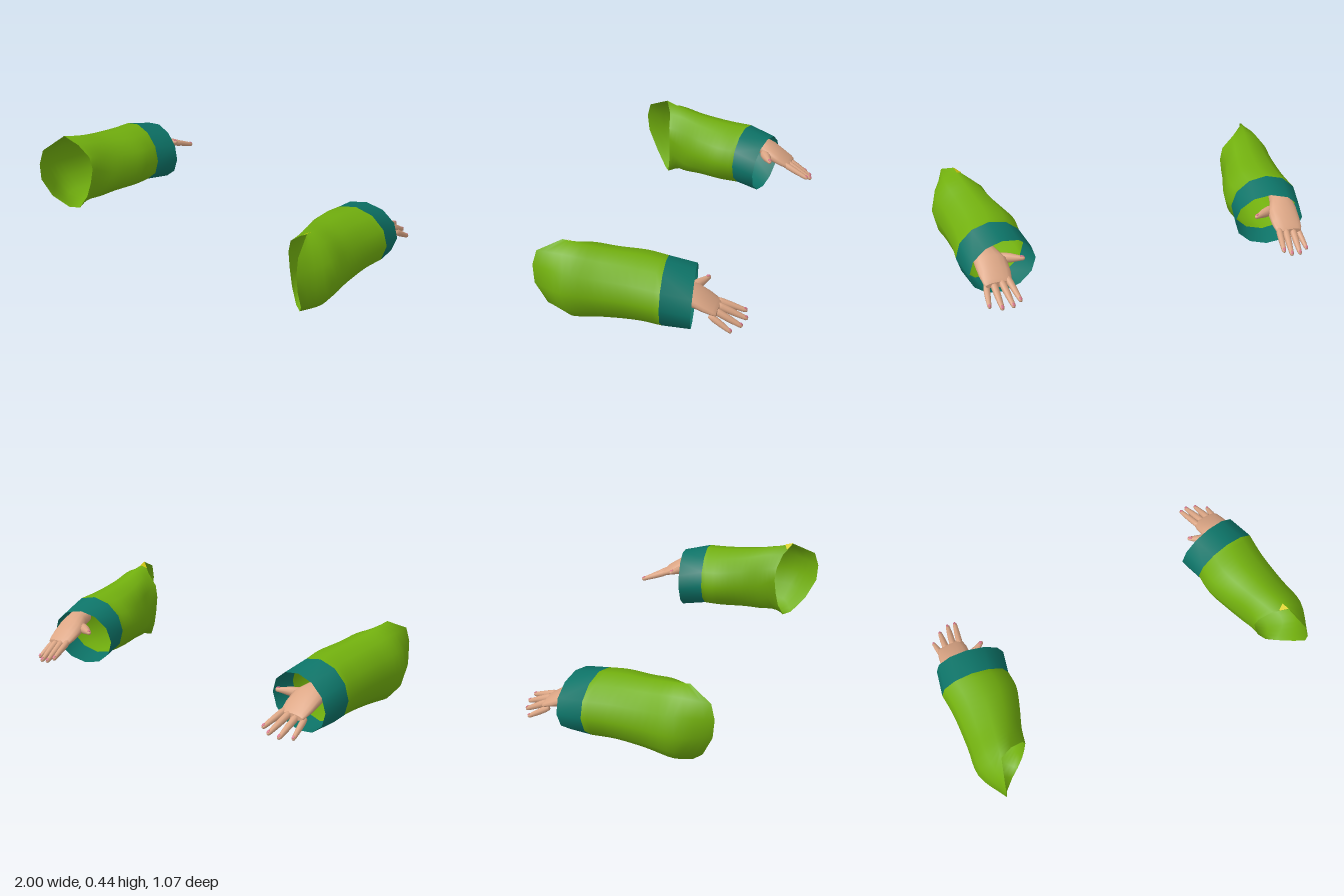
import * as THREE from 'three';

const V = (x, y, z) => new THREE.Vector3(x, y, z);
const mat = (name, color, side = THREE.FrontSide) =>
  Object.assign(new THREE.MeshStandardMaterial({ color, side }), { name });
const green = mat('sleeve green', 0x72b00e, THREE.DoubleSide);
const teal = mat('cuff teal', 0x0d7468, THREE.DoubleSide);
const yellow = mat('lining yellow', 0xd6cc12, THREE.DoubleSide);
const skin = mat('skin', 0xdca685);
const pink = mat('nail pink', 0xd8788c);

const SIDES = 12;

// Ellipse ring, tilted in z by kx (outer side) and ky (top)
function ring(cu, cy, cz, ru, ry, kx = 0, ky = 0, n = SIDES) {
  return Array.from({ length: n }, (_, k) => {
    const a = (k / n) * Math.PI * 2, c = Math.cos(a), s = Math.sin(a);
    return V(cu + ru * c, cy + ry * s, cz + kx * c + ky * s);
  });
}

// Skin over rings ordered from back to front; side mirrors in x
function loft(rings, side, capped = false) {
  const n = rings[0].length, pos = [], idx = [];
  const tri = (a, b, c) => (side > 0 ? idx.push(a, b, c) : idx.push(a, c, b));
  rings.forEach(r => r.forEach(p => pos.push(p.x * side, p.y, p.z)));
  for (let i = 0; i < rings.length - 1; i++) {
    for (let j = 0; j < n; j++) {
      const k = (j + 1) % n, a = i * n + j, b = i * n + k;
      tri(a, b, b + n);
      tri(a, b + n, a + n);
    }
  }
  if (capped) {
    [rings[0], rings[rings.length - 1]].forEach((r, e) => {
      const base = pos.length / 3;
      const mid = r.reduce((m, p) => m.add(p), V(0, 0, 0)).divideScalar(n);
      [...r, mid].forEach(p => pos.push(p.x * side, p.y, p.z));
      for (let j = 0; j < n; j++) {
        const k = (j + 1) % n;
        if (e) tri(base + n, base + j, base + k);
        else tri(base + n, base + k, base + j);
      }
    });
  }
  const g = new THREE.BufferGeometry();
  g.setAttribute('position', new THREE.Float32BufferAttribute(pos, 3));
  g.setIndex(idx);
  g.computeVertexNormals();
  return g;
}

function add(parent, name, geometry, material) {
  const m = new THREE.Mesh(geometry, material);
  m.name = name;
  parent.add(m);
  return m;
}

// Tapered round-tipped finger with a thin nail on its upper side
function finger(name, from, to, r0, r1) {
  const g = new THREE.Group();
  g.name = name;
  const dir = to.clone().sub(from), len = dir.length();
  dir.normalize();
  const up = V(0, 1, 0).addScaledVector(dir, -dir.y).normalize();
  g.quaternion.setFromRotationMatrix(
    new THREE.Matrix4().makeBasis(dir.clone().cross(up), dir, up));
  g.position.copy(from);
  const profile = [[0, 0], [r0 * 0.8, 0.002], [r0, len * 0.2], [r0 * 0.92, len * 0.5],
    [r1 * 1.05, len - r1 * 1.8], [r1 * 0.85, len - r1 * 0.6], [r1 * 0.45, len - r1 * 0.1], [0, len]];
  add(g, name + 'Skin', new THREE.LatheGeometry(profile.map(p => new THREE.Vector2(...p)), 10), skin);
  const nail = add(g, name + 'Nail', new THREE.SphereGeometry(1, 10, 6), pink);
  nail.scale.set(r1 * 0.65, r1 * 0.9, 0.003);
  nail.position.set(0, len - r1 * 1.1, r1 * 0.92);
  nail.rotation.x = -0.2;
  return g;
}

// Slanted front opening, starting at the outer side and going over the top
const RIM = [
  [0.92, 0.21, 0.527], [0.915, 0.31, 0.535], [0.905, 0.39, 0.513], [0.86, 0.45, 0.39],
  [0.79, 0.40, 0.35], [0.72, 0.34, 0.335], [0.705, 0.27, 0.33], [0.72, 0.18, 0.335],
  [0.745, 0.09, 0.345], [0.79, 0.01, 0.365], [0.84, 0.01, 0.40], [0.90, 0.09, 0.47],
].map(p => V(...p));

function arm(side) {
  const g = new THREE.Group();
  g.name = side > 0 ? 'leftArm' : 'rightArm';

  // Sleeve: smooth curve through the key rings at every angle
  const cuffStart = ring(0.788, 0.20, -0.115, 0.188, 0.17, -0.025, -0.005);
  const keys = [
    cuffStart,
    ring(0.785, 0.208, 0.0, 0.186, 0.174, -0.005),
    ring(0.812, 0.216, 0.16, 0.172, 0.184, 0.03),
    ring(0.84, 0.223, 0.295, 0.16, 0.203, 0.065),
    RIM,
  ];
  const curves = RIM.map((_, k) => new THREE.CatmullRomCurve3(keys.map(r => r[k])));
  const rows = Array.from({ length: 17 }, (_, i) => curves.map(c => c.getPoint(i / 16)));
  add(g, 'sleeve', loft(rows, side), green);

  // Cuff
  const cuffEnd = ring(0.755, 0.172, -0.255, 0.186, 0.158, -0.035, -0.01);
  add(g, 'cuff', loft([cuffEnd, cuffStart], side), teal);

  // Scrap of lining folded over the left opening
  if (side > 0) {
    const corners = [rows[16][3], rows[14][3], rows[16][3].clone().lerp(rows[16][4], 0.6)]
      .map(p => p.clone().add(V(0, 0.004, 0)));
    const patch = new THREE.BufferGeometry().setFromPoints(corners);
    patch.computeVertexNormals();
    add(g, 'liningPatch', patch, yellow);
  }

  // Hand
  const hand = new THREE.Group();
  hand.name = 'hand';
  const palm = [
    [0.815, 0.162, -0.400, 0.066, 0.016],
    [0.815, 0.170, -0.385, 0.075, 0.024],
    [0.817, 0.192, -0.34, 0.083, 0.036],
    [0.822, 0.222, -0.28, 0.085, 0.048],
    [0.842, 0.247, -0.21, 0.066, 0.048],
    [0.855, 0.255, -0.14, 0.055, 0.045],
  ].map(p => ring(...p, 0, 0, 16));
  add(hand, 'palm', loft(palm, side, true), skin);
  const digits = [
    ['littleFinger', [0.873, 0.155, -0.365], [0.884, 0.082, -0.482], 0.017, 0.011],
    ['ringFinger', [0.838, 0.168, -0.375], [0.825, 0.085, -0.522], 0.019, 0.012],
    ['middleFinger', [0.797, 0.174, -0.375], [0.769, 0.097, -0.535], 0.019, 0.012],
    ['indexFinger', [0.762, 0.178, -0.365], [0.728, 0.117, -0.522], 0.018, 0.012],
    ['thumb', [0.785, 0.222, -0.235], [0.648, 0.232, -0.308], 0.027, 0.013],
  ];
  for (const [name, a, b, r0, r1] of digits) {
    hand.add(finger(name, V(a[0] * side, a[1], a[2]), V(b[0] * side, b[1], b[2]), r0, r1));
  }
  g.add(hand);
  return g;
}

export function createModel() {
  const model = new THREE.Group();
  model.name = 'sleevedArms';
  model.add(arm(1), arm(-1));
  return model;
}
